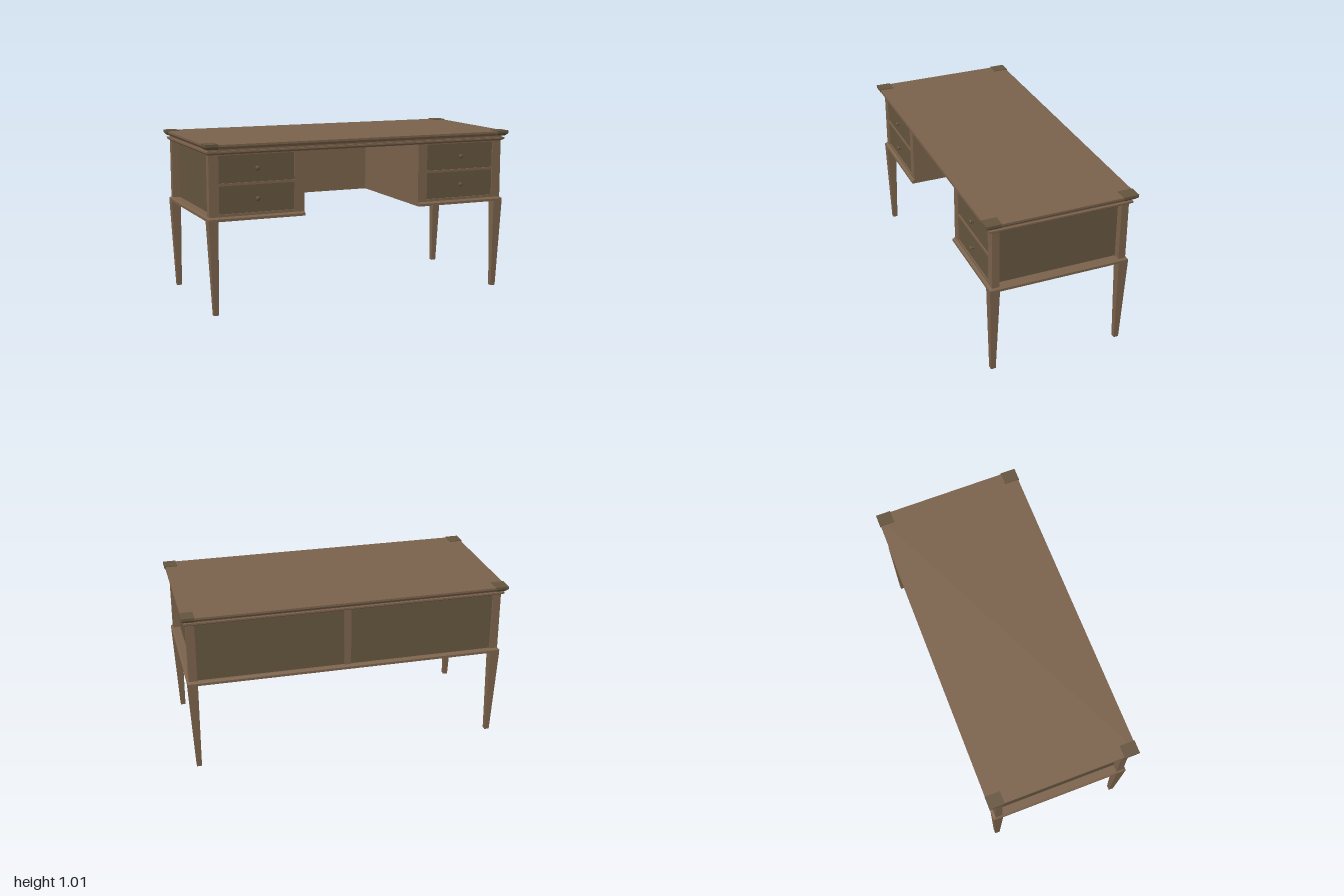
import * as THREE from 'three';

const WOOD = new THREE.MeshStandardMaterial({ color: 0x7a624b });
const PANEL = new THREE.MeshStandardMaterial({ color: 0x64543e });

// Box between two heights; bottom and top rectangles are [x0, x1, z0, z1]
function block(name, material, y0, y1, bottom, top = bottom) {
  const geometry = new THREE.BoxGeometry(1, 1, 1);
  const p = geometry.attributes.position;
  for (let i = 0; i < p.count; i++) {
    const up = p.getY(i) > 0;
    const r = up ? top : bottom;
    p.setXYZ(i, p.getX(i) > 0 ? r[1] : r[0], up ? y1 : y0, p.getZ(i) > 0 ? r[3] : r[2]);
  }
  geometry.computeVertexNormals();
  const mesh = new THREE.Mesh(geometry, material);
  mesh.name = name;
  return mesh;
}

// Rectangle centred on the origin
const around = (x, z) => [-x, x, -z, z];

// Rectangle mirrored into the quadrant given by the signs
function mirror([x0, x1, z0, z1], sx, sz = 1) {
  const [a, b] = sx > 0 ? [x0, x1] : [-x1, -x0];
  const [c, d] = sz > 0 ? [z0, z1] : [-z1, -z0];
  return [a, b, c, d];
}

function createKnob(x, y) {
  const profile = [[0, 0], [0.009, 0], [0.006, 0.005], [0.006, 0.012], [0.014, 0.016],
    [0.015, 0.021], [0.011, 0.026], [0, 0.028]].map(([r, h]) => new THREE.Vector2(r, h));
  const knob = new THREE.Mesh(new THREE.LatheGeometry(profile, 16), PANEL);
  knob.name = 'drawerKnob';
  knob.rotation.x = Math.PI / 2;
  knob.position.set(x, y, 0.412);
  return knob;
}

export function createModel() {
  const desk = new THREE.Group();
  desk.name = 'desk';
  const add = (...args) => desk.add(block(...args));

  // Desktop with a bevelled underside and stepped moulding
  add('desktop', WOOD, 0.998, 1.01, around(0.995, 0.46));
  add('desktopBevel', WOOD, 0.982, 0.998, around(0.98, 0.447), around(0.995, 0.46));
  add('neckMoulding', WOOD, 0.97, 0.982, around(0.97, 0.428));
  add('lowerMoulding', WOOD, 0.96, 0.97, around(0.985, 0.44));
  add('lowerMouldingBevel', WOOD, 0.948, 0.96, around(0.97, 0.42), around(0.985, 0.44));

  // Plinth and wall behind the kneehole
  add('rearPlinth', WOOD, 0.56, 0.575, [-0.38, 0.38, -0.435, -0.36]);
  add('rearPlinthBevel', WOOD, 0.575, 0.585, [-0.38, 0.38, -0.435, -0.36], [-0.38, 0.38, -0.42, -0.36]);
  add('kneeholeBack', WOOD, 0.585, 0.948, [-0.38, 0.38, -0.405, -0.36]);
  add('backStile', WOOD, 0.585, 0.948, [-0.02, 0.02, -0.42, -0.405]);

  for (const s of [1, -1]) {
    // Pedestal with its plinth, inner wall and recessed panels
    const plinth = mirror([0.38, 0.98, -0.435, 0.435], s);
    add('pedestalPlinth', WOOD, 0.56, 0.575, plinth);
    add('pedestalPlinthBevel', WOOD, 0.575, 0.585, plinth, mirror([0.38, 0.97, -0.42, 0.42], s));
    add('pedestalInnerWall', WOOD, 0.585, 0.948, mirror([0.38, 0.4, -0.405, 0.405], s));
    add('sidePanel', PANEL, 0.585, 0.948, mirror([0.9, 0.925, -0.4, 0.4], s));
    add('backPanel', PANEL, 0.585, 0.948, mirror([0.02, 0.92, -0.409, -0.404], s));

    // Drawer frame
    add('innerStile', WOOD, 0.585, 0.948, mirror([0.38, 0.442, 0.39, 0.42], s));
    add('outerStile', WOOD, 0.585, 0.948, mirror([0.91, 0.925, 0.39, 0.42], s));
    for (const [y0, y1] of [[0.585, 0.6], [0.765, 0.78], [0.943, 0.948]]) {
      add('drawerRail', WOOD, y0, y1, mirror([0.442, 0.91, 0.39, 0.42], s));
    }

    // Drawers
    for (const [y0, y1] of [[0.6, 0.765], [0.78, 0.943]]) {
      add('drawerFront', PANEL, y0, y1, mirror([0.442, 0.91, 0.39, 0.413], s));
      desk.add(createKnob(s * 0.676, (y0 + y1) / 2));
    }

    // Corner posts, tapered legs and desktop corner caps
    for (const t of [1, -1]) {
      add('cornerPost', WOOD, 0.585, 0.948, mirror([0.92, 0.97, 0.375, 0.42], s, t));
      add('leg', WOOD, 0, 0.56, mirror([0.923, 0.953, 0.39, 0.42], s, t), mirror([0.92, 0.98, 0.375, 0.435], s, t));
      add('cornerCap', PANEL, 0.998, 1.014, mirror([0.92, 1, 0.372, 0.465], s, t));
      add('cornerCapBevel', PANEL, 0.982, 0.998,
        mirror([0.92, 0.984, 0.372, 0.45], s, t), mirror([0.92, 1, 0.372, 0.465], s, t));
    }
  }
  return desk;
}
